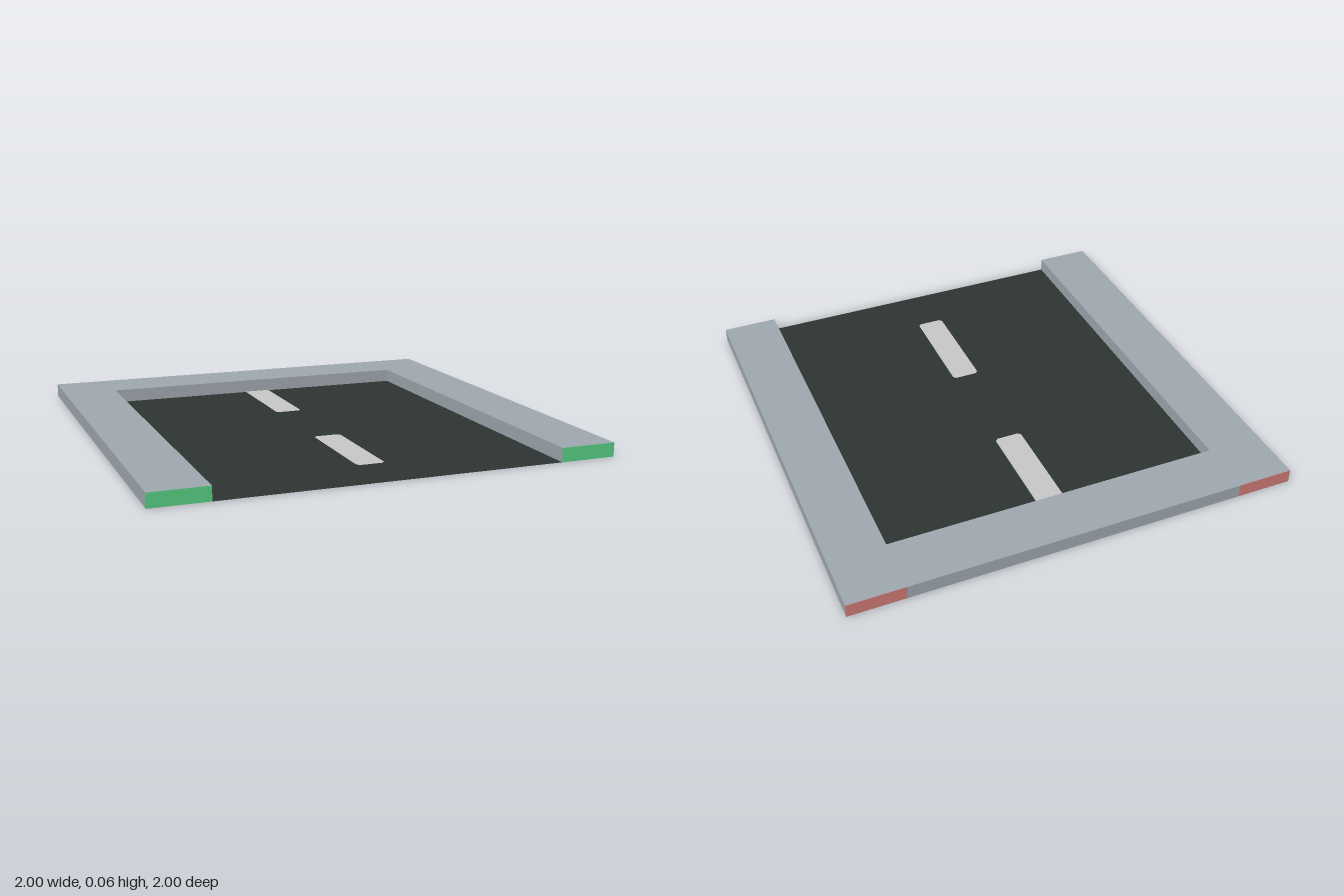
import * as THREE from 'three';

const paint = (name, color) => {
  const m = new THREE.MeshStandardMaterial({ color });
  m.name = name;
  return m;
};

export function createModel() {
  const group = new THREE.Group();
  group.name = 'roadEndTile';

  const concrete = paint('concrete grey', 0xa1aab1);
  const asphalt = paint('asphalt', 0x2d3533);
  const underside = paint('underside slate', 0x535566);
  const marking = paint('marking white', 0xcac9c9);
  const green = paint('end green', 0x57d084);
  const red = paint('end red', 0xd27c77);

  const H = 0.0625;     // kerb height
  const LIFT = 0.001;   // keeps stacked sheets apart

  const add = (name, geometry, material, x, y, z) => {
    const mesh = new THREE.Mesh(geometry, material);
    mesh.name = name;
    mesh.position.set(x, y, z);
    group.add(mesh);
  };

  // Underside sheet, facing down
  add('underside', new THREE.PlaneGeometry(2, 2).rotateX(Math.PI / 2), underside, 0, 0, 0);

  // Road surface, open at the front
  add('roadSurface', new THREE.PlaneGeometry(1.5, 1.75).rotateX(-Math.PI / 2), asphalt, 0, LIFT, 0.125);

  // Side kerbs: green front ends, red back ends (+x, -x, +y, -y, +z, -z)
  const kerbMaterials = [concrete, concrete, concrete, underside, green, red];
  const kerbY = (H + LIFT) / 2;
  for (const side of [1, -1]) {
    add(side > 0 ? 'leftKerb' : 'rightKerb',
      new THREE.BoxGeometry(0.25, H - LIFT, 2), kerbMaterials, side * 0.875, kerbY, 0);
  }

  // Back kerb closing the road
  add('backKerb', new THREE.BoxGeometry(1.5, H - LIFT, 0.25), concrete, 0, kerbY, -0.875);

  // Centre dashes with clipped corners; the far one runs square into the back kerb
  const dash = (clipBack) => {
    const w = 0.0625, l = 0.25, c = 0.0125, b = clipBack ? c : 0;
    const s = new THREE.Shape();
    s.moveTo(-w + c, -l);
    s.lineTo(w - c, -l);
    s.lineTo(w, -l + c);
    s.lineTo(w, l - b);
    if (clipBack) s.lineTo(w - b, l);
    s.lineTo(-w + b, l);
    if (clipBack) s.lineTo(-w, l - b);
    s.lineTo(-w, -l + c);
    s.closePath();
    return new THREE.ShapeGeometry(s).rotateX(-Math.PI / 2);
  };
  add('frontDash', dash(true), marking, 0, LIFT * 3, 0.5);
  add('backDash', dash(false), marking, 0, LIFT * 3, -0.5);

  return group;
}
